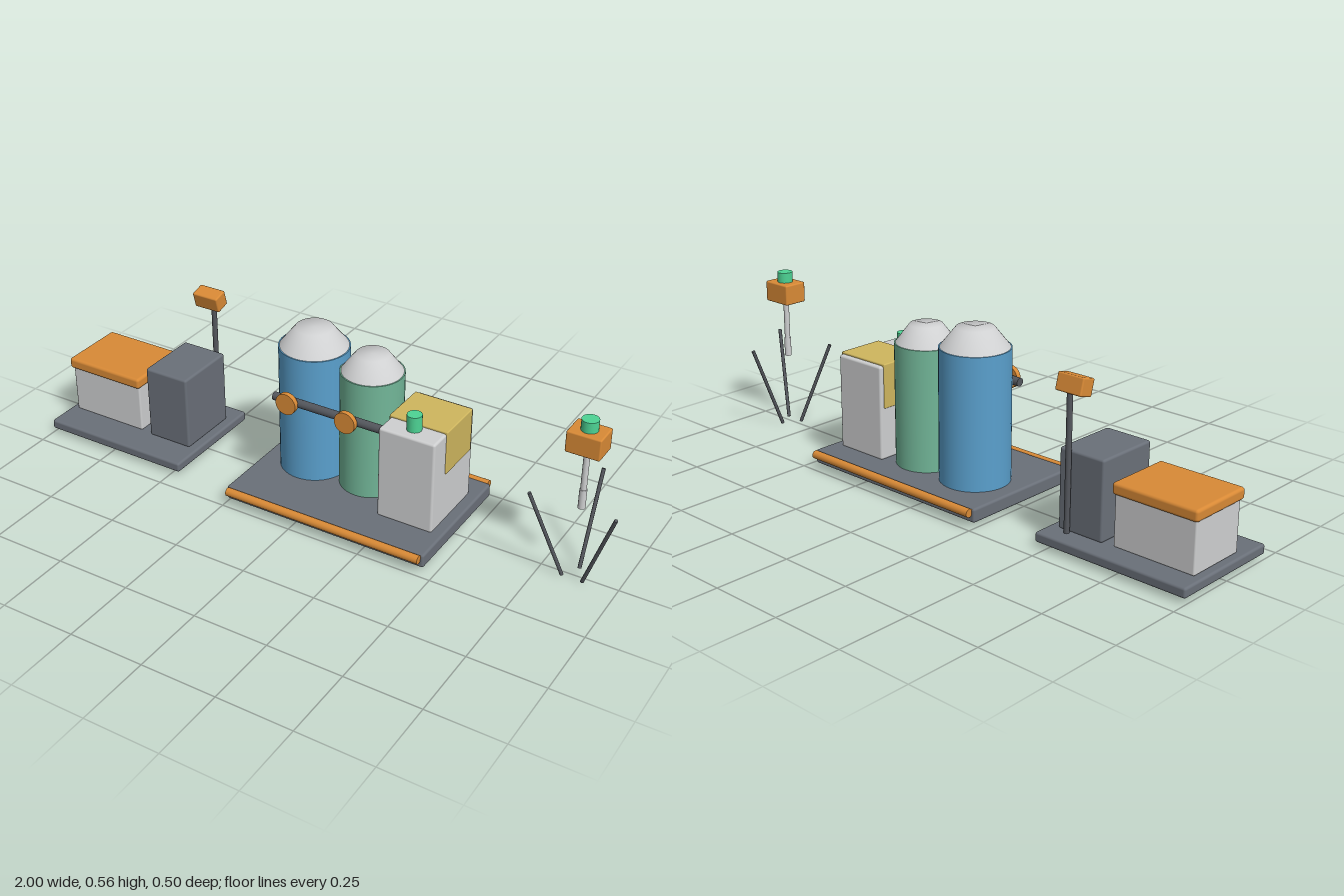
import * as THREE from 'three';
import { RoundedBoxGeometry } from 'three/addons/geometries/RoundedBoxGeometry.js';

const mat = (name, color) => Object.assign(new THREE.MeshStandardMaterial({ color }), { name });

export function createModel() {
  const steel = mat('slate steel', 0x6a7079);
  const dark = mat('dark metal', 0x54575d);
  const white = mat('light grey', 0xcfd0d1);
  const orange = mat('orange', 0xd98a36);
  const blue = mat('blue', 0x5aa0cd);
  const green = mat('sage green', 0x72b698);
  const yellow = mat('mustard', 0xcfb65e);
  const lamp = mat('signal green', 0x4dd394);

  const root = new THREE.Group();
  root.name = 'fieldStation';
  const group = (name) => {
    const g = new THREE.Group();
    g.name = name;
    root.add(g);
    return g;
  };
  const add = (parent, name, geometry, material, x = 0, y = 0, z = 0) => {
    const m = new THREE.Mesh(geometry, material);
    m.name = name;
    m.position.set(x, y, z);
    parent.add(m);
    return m;
  };
  // Rounded box given by its minimum and maximum corners
  const box = (parent, name, material, [x0, y0, z0], [x1, y1, z1], r = 0.006) =>
    add(parent, name, new RoundedBoxGeometry(x1 - x0, y1 - y0, z1 - z0, 2, r), material,
      (x0 + x1) / 2, (y0 + y1) / 2, (z0 + z1) / 2);
  // Round bar between two points
  const bar = (parent, name, material, a, b, r, sides = 16) => {
    const p = new THREE.Vector3(...a), q = new THREE.Vector3(...b);
    const d = q.clone().sub(p);
    const m = add(parent, name, new THREE.CylinderGeometry(r, r, d.length(), sides), material);
    m.position.copy(p).add(q).multiplyScalar(0.5);
    m.quaternion.setFromUnitVectors(new THREE.Vector3(0, 1, 0), d.normalize());
    return m;
  };

  // Storage module: crate, console and camera mast
  const storage = group('storageModule');
  box(storage, 'storageBase', steel, [-1, 0.017, -0.2], [-0.465, 0.05, 0.192], 0.008);
  box(storage, 'crate', white, [-0.975, 0.05, -0.125], [-0.695, 0.217, 0.085]);
  box(storage, 'crateLid', orange, [-0.983, 0.214, -0.135], [-0.69, 0.252, 0.095], 0.01);
  box(storage, 'console', steel, [-0.657, 0.048, -0.13], [-0.495, 0.305, 0.09], 0.008);
  bar(storage, 'mast', dark, [-0.537, 0.05, -0.141], [-0.537, 0.49, -0.141], 0.009);
  const head = add(storage, 'mastHead', new RoundedBoxGeometry(0.095, 0.055, 0.052, 2, 0.005),
    orange, -0.538, 0.503, -0.122);
  head.rotation.x = 0.26;

  // Processing module: base with side rails
  const plant = group('processingModule');
  box(plant, 'plantBase', steel, [-0.248, 0.015, -0.226], [0.465, 0.062, 0.226], 0.008);
  for (const s of [-1, 1])
    bar(plant, 'sideRail', orange, [-0.238, 0.05, s * 0.236], [0.455, 0.05, s * 0.236], 0.014);

  // Tanks with sloping caps
  for (const [name, m, x, r, top, capTop, flat] of [
    ['blueTank', blue, -0.084, 0.114, 0.497, 0.56, 0.06],
    ['greenTank', green, 0.126, 0.102, 0.467, 0.526, 0.053],
  ]) {
    bar(plant, name, m, [x, 0.06, -0.045], [x, top, -0.045], r, 40);
    const profile = [[r - 0.004, top], [flat, capTop], [0, capTop]];
    add(plant, name + 'Cap', new THREE.LatheGeometry(
      profile.map(([px, py]) => new THREE.Vector2(px, py)), 40), white, x, 0, -0.045);
  }

  // Pipe with two hand wheels
  bar(plant, 'pipe', dark, [-0.147, 0.361, 0.092], [0.25, 0.361, 0.092], 0.014);
  for (const x of [-0.088, 0.124])
    bar(plant, 'handWheel', orange, [x, 0.361, 0.104], [x, 0.361, 0.121], 0.036, 28);

  // Cabinet with a wrapped panel and a signal lamp
  box(plant, 'cabinet', white, [0.238, 0.06, -0.142], [0.43, 0.378, 0.112], 0.008);
  box(plant, 'cabinetPanel', yellow, [0.234, 0.235, -0.127], [0.434, 0.385, 0.038], 0.004);
  bar(plant, 'cabinetLamp', lamp, [0.333, 0.376, 0.061], [0.333, 0.43, 0.061], 0.024, 24);

  // Sensor stand with three splayed legs
  const stand = group('sensorStand');
  stand.position.x = 0.858;
  for (let i = 0; i < 3; i++) {
    const a = Math.PI + i * Math.PI * 2 / 3;
    const sx = Math.sin(a), sz = Math.cos(a);
    bar(stand, 'leg', dark, [sx * 0.038, 0.003, sz * 0.038], [sx * 0.155, 0.297, sz * 0.155], 0.006, 10);
  }
  bar(stand, 'post', white, [0, 0.248, 0], [0, 0.45, 0], 0.0095);
  bar(stand, 'postCollar', white, [0, 0.248, 0], [0, 0.313, 0], 0.0115);
  box(stand, 'sensorHead', orange, [-0.054, 0.446, -0.042], [0.054, 0.516, 0.042], 0.005);
  bar(stand, 'sensorLamp', lamp, [0, 0.514, 0], [0, 0.551, 0], 0.026, 24);

  return root;
}
